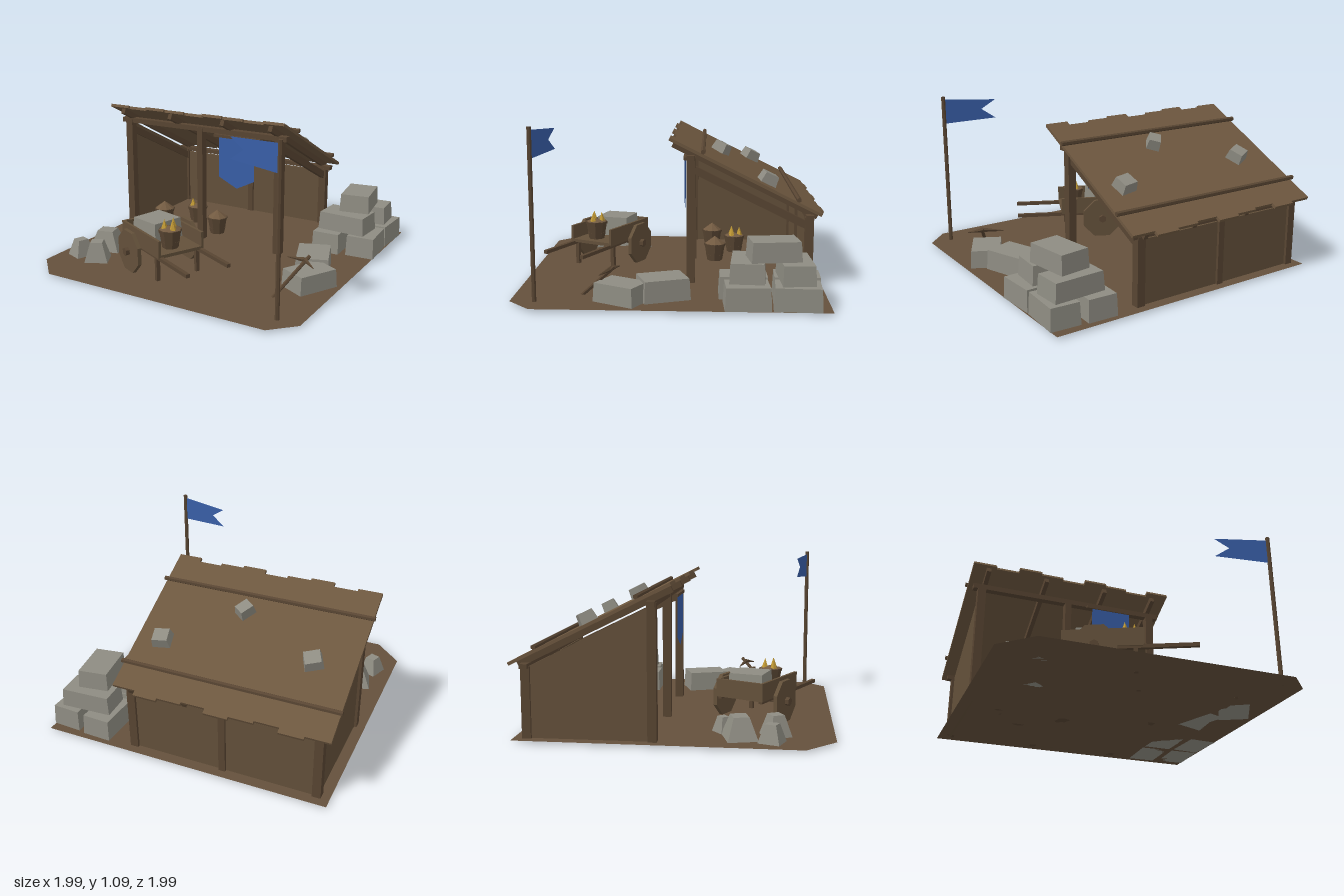
import * as THREE from 'three';

const mat = (name, color) => Object.assign(new THREE.MeshStandardMaterial({ color, flatShading: true }), { name });
const M = {
  earth: mat('packed earth', 0x64503c),
  roof: mat('roof plank wood', 0x6d573f),
  wall: mat('wall plank wood', 0x63503a),
  post: mat('timber wood', 0x584532),
  stone: mat('cut stone', 0x8e8c82),
  cloth: mat('blue cloth', 0x385ea6),
  gold: mat('gold ore', 0xc29a35),
  ore: mat('brown ore', 0x725a41),
};
M.earth.side = M.cloth.side = THREE.DoubleSide;
const GROUND = 0.012;

function add(parent, name, geo, material, x = 0, y = 0, z = 0, ry = 0) {
  const m = new THREE.Mesh(geo, material);
  m.name = name;
  m.position.set(x, y, z);
  m.rotation.y = ry;
  parent.add(m);
  return m;
}
const box = (parent, name, material, w, h, d, x, y, z, ry = 0) =>
  add(parent, name, new THREE.BoxGeometry(w, h, d), material, x, y, z, ry);

// Straight round bar between two points
function bar(parent, name, material, a, b, r, sides = 6, rTop = r) {
  const A = new THREE.Vector3(...a), B = new THREE.Vector3(...b);
  const d = B.clone().sub(A);
  const m = add(parent, name, new THREE.CylinderGeometry(rTop, r, d.length(), sides), material);
  m.position.copy(A).add(B).multiplyScalar(0.5);
  m.quaternion.setFromUnitVectors(new THREE.Vector3(0, 1, 0), d.normalize());
  return m;
}

// Stone block standing on y, narrowing towards its top
function block(parent, name, w, h, d, x, y, z, deg = 0, taper = 0.92) {
  const g = new THREE.BoxGeometry(w, h, d).translate(0, h / 2, 0);
  const p = g.attributes.position;
  for (let i = 0; i < p.count; i++) {
    if (p.getY(i) > h / 2) p.setXYZ(i, p.getX(i) * taper, h, p.getZ(i) * taper);
  }
  g.computeVertexNormals();
  return add(parent, name, g, M.stone, x, y, z, THREE.MathUtils.degToRad(deg));
}

// Flat polygon drawn in x and y
function flat(points) {
  return new THREE.ShapeGeometry(new THREE.Shape(points.map(([x, y]) => new THREE.Vector2(x, y))));
}

// Eight-sided bucket with ore heaped in it
function bucket(parent, x, y, z, golden) {
  const b = new THREE.Group();
  b.name = golden ? 'goldBucket' : 'oreBucket';
  b.position.set(x, y, z);
  parent.add(b);
  add(b, 'bucketBody', new THREE.CylinderGeometry(0.076, 0.055, 0.125, 8), M.post, 0, 0.0625, 0);
  for (const [h, r] of [[0.035, 0.064], [0.115, 0.08]])
    add(b, 'bucketHoop', new THREE.CylinderGeometry(r, r - 0.003, 0.018, 8), M.post, 0, h, 0);
  add(b, 'heap', new THREE.ConeGeometry(0.073, golden ? 0.02 : 0.055, 8), M.ore, 0, golden ? 0.135 : 0.152, 0);
  if (golden) for (let i = 0; i < 3; i++) {
    const a = 0.5 + i * Math.PI * 2 / 3;
    add(b, 'nugget', new THREE.ConeGeometry(0.024, 0.065, 5), M.gold, Math.cos(a) * 0.038, 0.16, Math.sin(a) * 0.038, i);
  }
}

function buildShed(root) {
  const shed = new THREE.Group();
  shed.name = 'shed';
  root.add(shed);
  const zf = -0.107, zb = -0.885;
  for (const x of [-0.893, -0.265, 0.367]) {
    const w = x === -0.265 ? 0.045 : 0.056;
    box(shed, 'frontPost', M.post, w, 0.845, 0.056, x, GROUND + 0.4225, zf);
    box(shed, 'backPost', M.post, w, 0.45, 0.056, x, GROUND + 0.225, zb);
  }
  box(shed, 'frontBeam', M.post, 1.38, 0.035, 0.05, -0.262, 0.85, zf);
  box(shed, 'backBeam', M.post, 1.38, 0.03, 0.05, -0.262, 0.465, zb);
  box(shed, 'backWall', M.wall, 1.25, 0.425, 0.02, -0.263, GROUND + 0.2125, zb);

  // Left-hand side wall with sloping top
  const side = new THREE.Shape([[0.107, GROUND], [0.885, GROUND], [0.885, 0.45], [0.107, 0.84]]
    .map(([x, y]) => new THREE.Vector2(x, y)));
  add(shed, 'sideWall', new THREE.ExtrudeGeometry(side, { depth: 0.02, bevelEnabled: false }),
    M.wall, -0.883, 0, 0, Math.PI / 2).position.x = -0.903;

  // Sloping side rails
  for (const x of [-0.885, 0.367])
    box(shed, 'sideRail', M.post, 0.03, 0.05, 0.85, x, 0.59, -0.496).rotation.x = -0.457;

  // Roof, with its own y = 0 on the top of the planks
  const roof = new THREE.Group();
  roof.name = 'roof';
  roof.position.set(-0.258, 0.737, -0.48);
  roof.rotation.x = -0.461;
  shed.add(roof);
  const pw = 1.445 / 9;
  for (let i = 0; i < 9; i++)
    box(roof, 'roofPlank', M.roof, pw, 0.02, 1.1, (i - 4) * pw, -0.01, [0, -0.018, 0.016][i % 3]);
  for (const x of [-0.615, -0.2, 0.235, 0.61])
    box(roof, 'rafter', M.post, 0.03, 0.04, 1.06, x, -0.04, 0);
  for (const z of [0.335, -0.355])
    bar(roof, 'roofPole', M.post, [-0.735, 0.014, z], [0.735, 0.014, z], 0.016);
  block(roof, 'roofStone', 0.12, 0.07, 0.11, -0.457, 0, -0.06, 25, 0.85);
  block(roof, 'roofStone', 0.12, 0.07, 0.11, 0.54, 0, -0.14, 10, 0.85);
  block(roof, 'roofStone', 0.09, 0.07, 0.11, 0.09, 0, 0.2, -35, 0.85);

  // Hanging banner
  box(shed, 'bannerRod', M.post, 0.37, 0.02, 0.02, 0.055, 0.825, -0.062);
  add(shed, 'banner', flat([[-0.09, 0.82], [-0.09, 0.525], [0.055, 0.455], [0.195, 0.525], [0.195, 0.82]]),
    M.cloth, 0, 0, -0.06);

  bucket(shed, -0.7, GROUND, -0.25, false);
  bucket(shed, -0.5, GROUND, -0.42, true);
  bucket(shed, -0.23, GROUND, -0.27, false);
}

function buildCart(root) {
  const cart = new THREE.Group();
  cart.name = 'handcart';
  cart.position.set(-0.205, 0, 0.5);
  cart.rotation.y = -0.454;
  root.add(cart);
  box(cart, 'cartFloor', M.wall, 0.51, 0.022, 0.34, 0, 0.192, 0);
  box(cart, 'cartEnd', M.wall, 0.02, 0.1, 0.34, -0.245, 0.25, 0);
  for (const s of [-1, 1]) {
    box(cart, 'cartSide', M.wall, 0.51, 0.1, 0.018, 0, 0.25, s * 0.161);
    box(cart, 'handle', M.post, 0.83, 0.024, 0.026, 0.17, 0.177, s * 0.15);
    box(cart, 'cartLeg', M.post, 0.026, 0.17, 0.026, 0.2, 0.095, s * 0.15);
    const wheel = add(cart, 'wheel', new THREE.CylinderGeometry(0.15, 0.15, 0.026, 8), M.wall, -0.043, 0.157, s * 0.225);
    wheel.rotation.set(Math.PI / 2, Math.PI / 8, 0);
    add(cart, 'hub', new THREE.CylinderGeometry(0.028, 0.028, 0.06, 6), M.post, -0.043, 0.157, s * 0.235).rotation.x = Math.PI / 2;
  }
  bar(cart, 'axle', M.post, [-0.043, 0.157, -0.23], [-0.043, 0.157, 0.23], 0.016);
  block(root, 'cartStone', 0.24, 0.135, 0.24, -0.275, 0.203, 0.455, -15, 0.93);
  bucket(root, -0.08, 0.203, 0.585, true);
}

function buildStones(root) {
  const pile = new THREE.Group();
  pile.name = 'stonePile';
  root.add(pile);
  // width, height, depth, x, y, z, turn in degrees
  const rows = [
    [0.2, 0.143, 0.3, 0.645, GROUND, -0.78, -2], [0.2, 0.143, 0.29, 0.887, GROUND, -0.765, -3],
    [0.2, 0.143, 0.31, 0.645, GROUND, -0.445, 1], [0.2, 0.143, 0.28, 0.887, GROUND, -0.46, 3],
    [0.35, 0.125, 0.2, 0.768, 0.155, -0.76, 3], [0.345, 0.125, 0.215, 0.738, 0.155, -0.47, -4],
    [0.21, 0.125, 0.31, 0.765, 0.28, -0.625, 8],
    [0.225, 0.137, 0.3, 0.715, GROUND, 0.06, 20], [0.205, 0.12, 0.29, 0.8, GROUND, 0.31, -28],
  ];
  for (const r of rows) block(pile, 'stoneBlock', ...r, 0.95);

  // Rough stones on the other side of the yard
  const rough = [
    [0.22, 0.14, 0.19, -0.745, GROUND, 0.41, 15], [0.11, 0.1, 0.1, -0.615, GROUND, 0.3, 38],
    [0.16, 0.135, 0.15, -0.665, GROUND, 0.63, 28], [0.13, 0.115, 0.14, -0.825, GROUND, 0.61, -20],
  ];
  for (const r of rough) block(pile, 'roughStone', ...r, 0.52);
}

function buildPickaxe(root) {
  const pick = new THREE.Group();
  pick.name = 'pickaxe';
  root.add(pick);
  bar(pick, 'pickHandle', M.post, [0.672, 0.006, 0.575], [0.815, 0.235, 0.345], 0.012);
  const c = [0.795, 0.215, 0.375];
  bar(pick, 'pickHead', M.post, c, [0.655, 0.195, 0.335], 0.016, 5, 0.003);
  bar(pick, 'pickHead', M.post, c, [0.88, 0.195, 0.435], 0.016, 5, 0.003);
}

export function createModel() {
  const root = new THREE.Group();
  root.name = 'quarryCamp';

  // Ground sheet with clipped front corners
  const ground = flat([[-0.975, 0.97], [-0.975, -0.81], [-0.78, -1], [0.84, -1], [0.99, -0.85], [0.99, 0.97]]);
  add(root, 'ground', ground.rotateX(-Math.PI / 2), M.earth, 0, GROUND, 0);

  buildShed(root);
  buildCart(root);
  buildStones(root);
  buildPickaxe(root);

  // Swallow-tailed flag on its pole
  bar(root, 'flagPole', M.post, [0.84, GROUND, 0.845], [0.84, 1.09, 0.845], 0.014);
  add(root, 'flag', flat([[0, 1.07], [-0.375, 1.05], [-0.273, 0.985], [-0.375, 0.915], [0, 0.895]]),
    M.cloth, 0.84, 0, 0.845, -0.22);
  return root;
}
